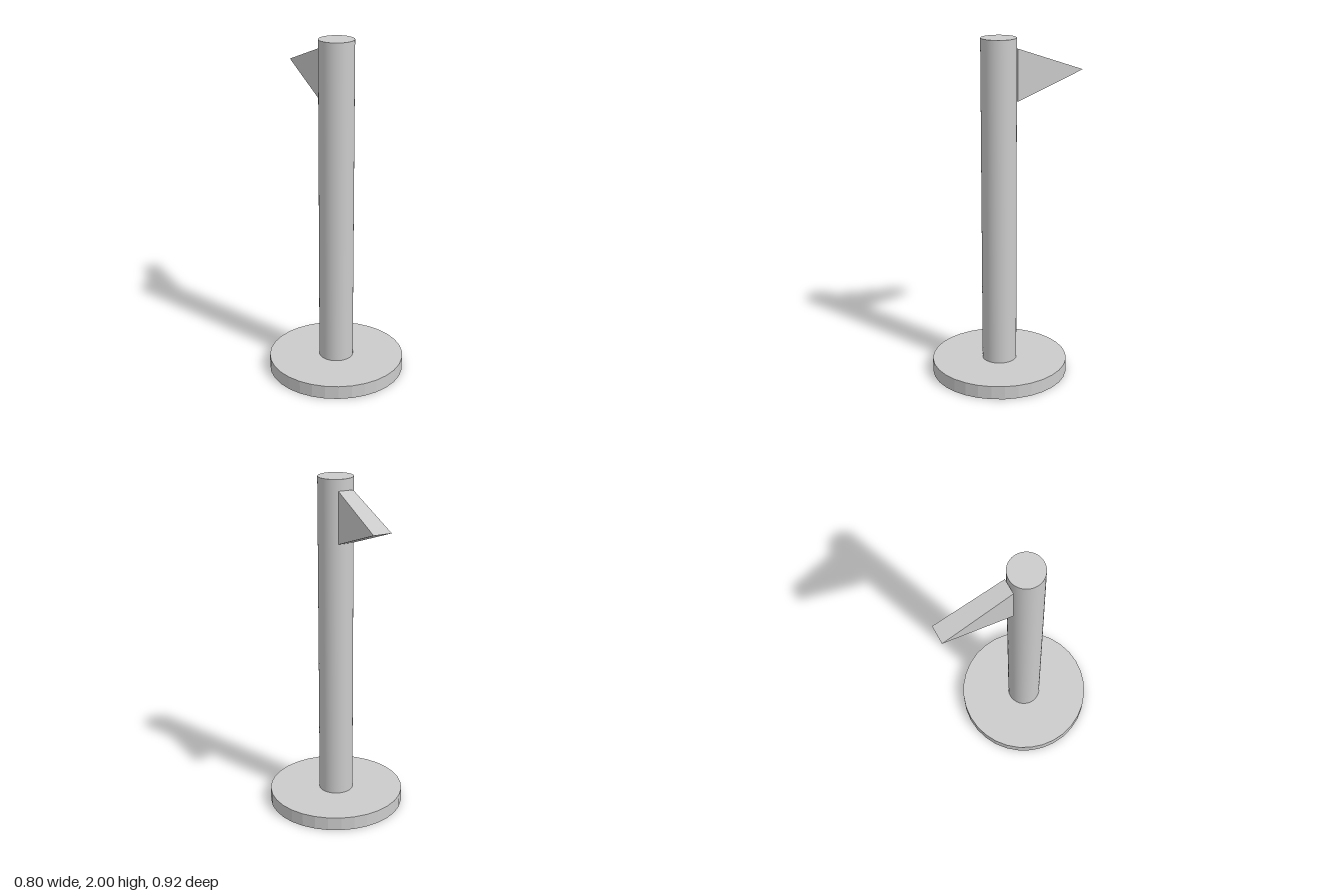
import * as THREE from 'three';

const POLE_Z = 0.058;

function addPart(group, name, geometry, flatShading) {
  const material = new THREE.MeshStandardMaterial({ color: 0xcccccc, flatShading });
  const mesh = new THREE.Mesh(geometry, material);
  mesh.name = name;
  group.add(mesh);
  return mesh;
}

// Thick triangular pennant that widens slightly from the pole to its tip
function pennantGeometry() {
  const inner = 0.045, tip = 0.46;
  const shape = new THREE.Shape([
    new THREE.Vector2(inner, 1.638),
    new THREE.Vector2(tip, 1.788),
    new THREE.Vector2(inner, 1.936),
  ]);
  const geometry = new THREE.ExtrudeGeometry(shape, { depth: 1, bevelEnabled: false });
  geometry.translate(0, 0, -0.5).rotateY(Math.PI / 2);
  const pos = geometry.attributes.position;
  for (let i = 0; i < pos.count; i++) {
    const t = (-pos.getZ(i) - inner) / (tip - inner);
    const width = THREE.MathUtils.lerp(0.09, 0.108, t);
    pos.setX(i, pos.getX(i) * width - 0.01);
  }
  geometry.computeVertexNormals();
  return geometry;
}

export function createModel() {
  const group = new THREE.Group();
  group.name = 'flagpole';

  // Faceted disc foot
  addPart(group, 'base', new THREE.CylinderGeometry(0.4, 0.4, 0.08, 32), true)
    .position.set(0, 0.04, POLE_Z);

  // Smooth round pole standing on the foot
  addPart(group, 'pole', new THREE.CylinderGeometry(0.101, 0.101, 1.92, 64), false)
    .position.set(0, 1.04, POLE_Z);

  // Pennant pointing backwards
  addPart(group, 'pennant', pennantGeometry(), true);

  return group;
}
